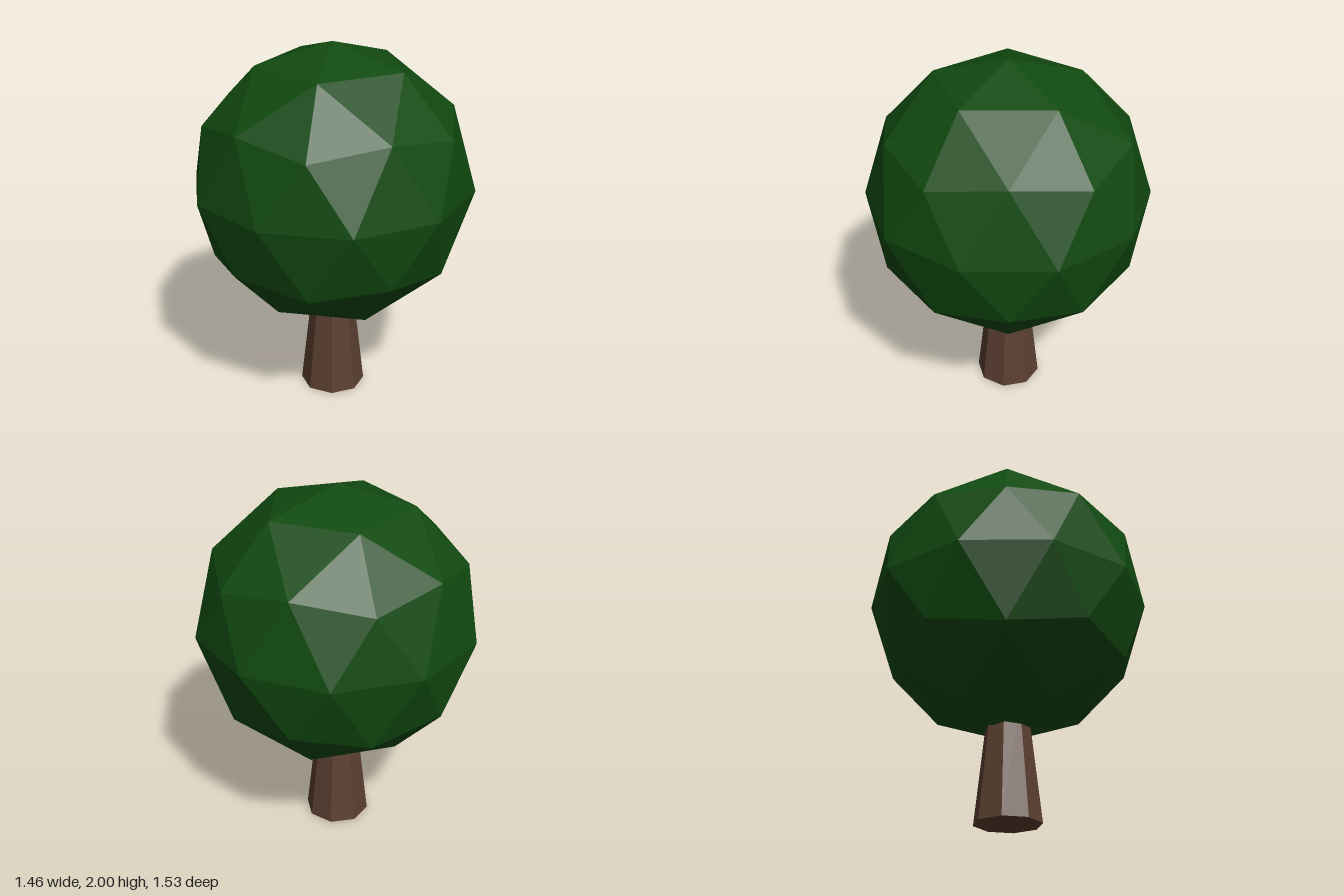
import * as THREE from 'three';

// Twice-split icosahedron with one corner straight up and an upper-ring corner at +x
function crownGeometry(radius) {
  const ringY = 1 / Math.sqrt(5), ringR = 2 / Math.sqrt(5);
  const points = [0, 1, 0, 0, -1, 0];
  const faces = [];
  for (const [y, offset] of [[ringY, 0], [-ringY, 0.5]]) {
    for (let k = 0; k < 5; k++) {
      const a = (k + offset) * Math.PI * 0.4;
      points.push(ringR * Math.cos(a), y, ringR * Math.sin(a));
    }
  }
  for (let k = 0; k < 5; k++) {
    const next = (k + 1) % 5;
    const u0 = 2 + k, u1 = 2 + next, l0 = 7 + k, l1 = 7 + next;
    faces.push(0, u1, u0, u0, u1, l0, l0, u1, l1, l0, l1, 1);
  }
  const geometry = new THREE.PolyhedronGeometry(points, faces, radius, 1);
  geometry.computeVertexNormals(); // unshared corners give flat facets
  return geometry;
}

export function createModel() {
  const leafGreen = new THREE.MeshStandardMaterial({ name: 'leaf green', color: 0x114a10, flatShading: true });
  const barkBrown = new THREE.MeshStandardMaterial({ name: 'bark brown', color: 0x5c4031, flatShading: true });
  const tree = new THREE.Group();
  tree.name = 'tree';

  // Tapered eight-sided trunk, running up into the crown
  const trunk = new THREE.Mesh(new THREE.CylinderGeometry(0.112, 0.18, 0.6, 8), barkBrown);
  trunk.name = 'trunk';
  trunk.position.y = 0.3;

  // Faceted round crown
  const crown = new THREE.Mesh(crownGeometry(0.765), leafGreen);
  crown.name = 'crown';
  crown.position.y = 1.235;

  tree.add(trunk, crown);
  return tree;
}
